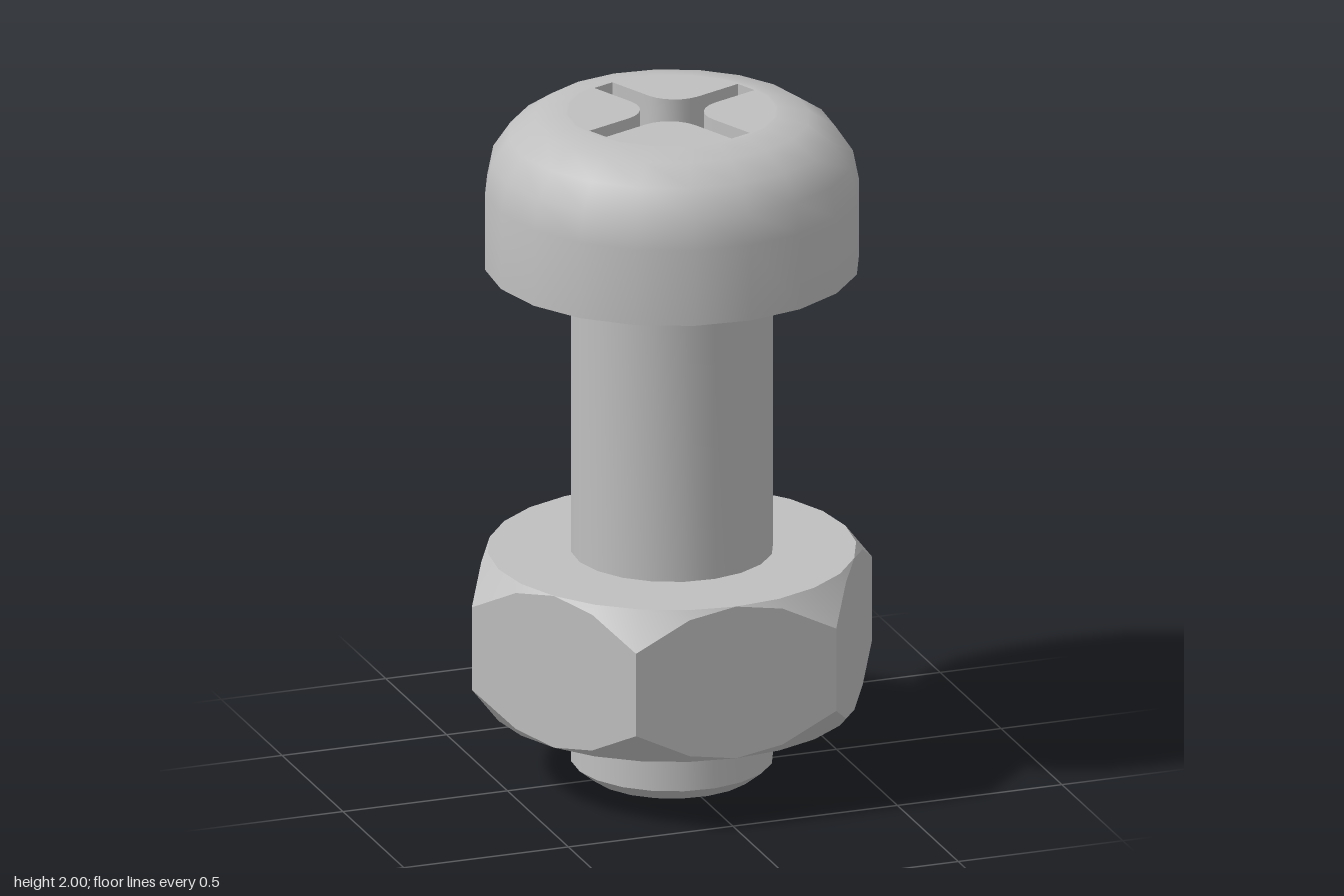
import * as THREE from 'three';
import { toCreasedNormals } from 'three/addons/utils/BufferGeometryUtils.js';

const SIDES = 20;
const TURN = THREE.MathUtils.degToRad(4.5);
const V = (x, y) => new THREE.Vector2(x, y);

export function createModel() {
  const steel = new THREE.MeshStandardMaterial({ color: 0xbfbfbf });
  steel.name = 'steel grey';
  const model = new THREE.Group();
  model.name = 'boltAndNut';

  const add = (name, geometry, crease = 0.5) => {
    const mesh = new THREE.Mesh(toCreasedNormals(geometry, crease), steel);
    mesh.name = name;
    model.add(mesh);
  };

  // Shank with a chamfered tip
  const shank = [V(0, 0), V(0.24, 0), V(0.29, 0.04), V(0.29, 1.56)];
  add('shank', new THREE.LatheGeometry(shank, SIDES, TURN));

  // Pan head: straight rim, rounded shoulder
  const topRadius = 0.298;
  const head = [V(0.2, 1.54), V(0.537, 1.54)];
  for (let i = 0; i <= 4; i++) {
    const a = (i / 4) * Math.PI / 2;
    head.push(V(0.305 + 0.232 * Math.cos(a), 1.768 + 0.232 * Math.sin(a)));
  }
  head.push(V(topRadius, 2));
  add('head', new THREE.LatheGeometry(head, SIDES, TURN));

  // Cross recess outline: four arms joined by fillets
  const arm = 0.288, half = 0.035, fillet = 0.1, depth = 0.22;
  const cross = [];
  for (let k = 0; k < 4; k++) {
    const quarter = [V(arm, -half), V(arm, half)];
    for (let i = 0; i <= 6; i++) {
      const a = -Math.PI / 2 - (i / 6) * Math.PI / 2;
      quarter.push(V(half + fillet + fillet * Math.cos(a), half + fillet + fillet * Math.sin(a)));
    }
    const turn = Math.PI / 8 + k * Math.PI / 2;
    cross.push(...quarter.map((p) => p.rotateAround(V(0, 0), turn)));
  }

  // Flat top of the head, pierced by the recess
  const rim = [];
  for (let i = 0; i < SIDES; i++) {
    const a = TURN + (i / SIDES) * Math.PI * 2;
    rim.push(V(topRadius * Math.sin(a), -topRadius * Math.cos(a)));
  }
  const topShape = new THREE.Shape(rim);
  topShape.holes.push(new THREE.Path(cross));
  const top = new THREE.ExtrudeGeometry(topShape, { depth, bevelEnabled: false });
  add('headTop', top.rotateX(-Math.PI / 2).translate(0, 2 - depth, 0));

  const floor = new THREE.ShapeGeometry(new THREE.Shape(cross));
  add('recessFloor', floor.rotateX(-Math.PI / 2).translate(0, 2 - depth, 0));

  // Hex nut: a lathe whose side rows are pushed out to a hexagon,
  // with their ends following the conical chamfer
  const flat = 0.527, low = 0.215, high = 0.675, slope = 1.29;
  const rows = [V(0.28, low), V(flat, low), V(flat, low), V(flat, high), V(flat, high), V(0.28, high)];
  const nut = new THREE.LatheGeometry(rows, 24);
  const pos = nut.attributes.position;
  for (let i = 0; i < pos.count; i++) {
    const row = i % rows.length;
    if (row !== 2 && row !== 3) continue;
    const phi = Math.floor(i / rows.length) * Math.PI / 12;
    const off = phi - Math.round(phi / (Math.PI / 3)) * Math.PI / 3;
    const r = flat / Math.cos(off);
    const drop = (r - flat) * slope;
    pos.setXYZ(i, r * Math.sin(phi), row === 2 ? low + drop : high - drop, r * Math.cos(phi));
  }
  add('hexNut', nut, 0.4);

  return model;
}
